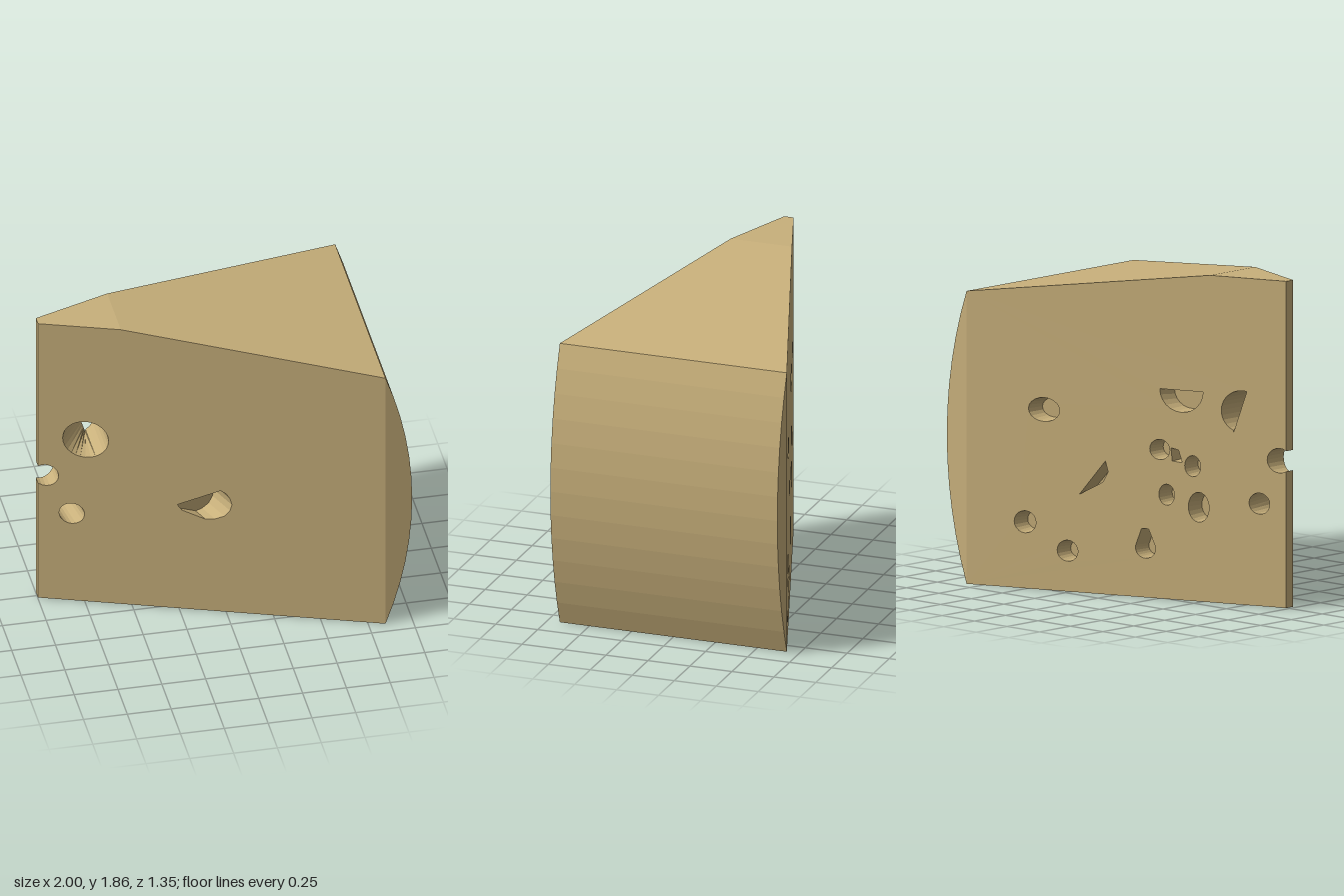
import * as THREE from 'three';

const V2 = (x, y) => new THREE.Vector2(x, y);
const pts = (list) => list.map(([x, y]) => V2(x, y));

// Half thickness of the wedge at x: narrow tip, constant rind
const half = (x) => Math.min(0.676, 0.028 + 0.3515 * (x + 1));
const onSide = (p, s) => new THREE.Vector3(p.x, p.y, s * half(p.x));

// Counter-clockwise ellipse
function oval(x, y, rx, ry = rx, n = 20) {
  return Array.from({ length: n }, (_, i) => {
    const a = (i / n) * Math.PI * 2;
    return V2(x + rx * Math.cos(a), y + ry * Math.sin(a));
  });
}

// Arc from angle a0 to a1, ends included
function arc(x, y, r, a0, a1, n) {
  return Array.from({ length: n + 1 }, (_, i) => {
    const a = a0 + ((a1 - a0) * i) / n;
    return V2(x + r * Math.cos(a), y + r * Math.sin(a));
  });
}

function fromTriangles(tris) {
  const g = new THREE.BufferGeometry().setFromPoints(tris);
  g.computeVertexNormals();
  return g;
}

// Ruled strip between two loops of equal length
function loft(a, b, flip) {
  const t = [];
  a.forEach((p, i) => {
    const j = (i + 1) % a.length;
    if (flip) t.push(p, a[j], b[i], a[j], b[j], b[i]);
    else t.push(p, b[i], a[j], a[j], b[i], b[j]);
  });
  return t;
}

// Flat outline with holes laid on one side (s = 1 front, -1 back)
function sideFace(outline, holes, s) {
  const faces = THREE.ShapeUtils.triangulateShape(outline, holes);
  const all = [...outline, ...holes.flat()];
  const t = [];
  faces.forEach(([a, b, c]) => {
    const [p, q, r] = [a, b, c].map((i) => onSide(all[i], s));
    const ccw = (q.x - p.x) * (r.y - p.y) - (q.y - p.y) * (r.x - p.x) > 0;
    if (ccw === (s > 0)) t.push(p, q, r);
    else t.push(p, r, q);
  });
  return fromTriangles(t);
}

// Blind hole: walls plus floor; depthAt gives the floor depth at x
function pocket(loop, s, depthAt, shrink, shift = 0) {
  const c = loop.reduce((m, p) => m.add(p), V2(0, 0)).divideScalar(loop.length);
  const outer = loop.map((p) => onSide(p, s));
  const inner = loop.map((p) => {
    const d = depthAt(p.x);
    return new THREE.Vector3(
      c.x + (p.x - c.x) * shrink + shift * d,
      c.y + (p.y - c.y) * shrink,
      s * (half(p.x) - d));
  });
  const t = loft(outer, inner, s > 0);
  const mid = inner.reduce((m, p) => m.add(p), new THREE.Vector3()).divideScalar(inner.length);
  inner.forEach((p, i) => {
    const q = inner[(i + 1) % inner.length];
    if (s > 0) t.push(mid, p, q);
    else t.push(mid, q, p);
  });
  return fromTriangles(t);
}

export function createModel() {
  const group = new THREE.Group();
  const cheese = new THREE.MeshStandardMaterial({ color: 0xc8b07b, side: THREE.DoubleSide });
  cheese.name = 'cheese yellow';
  const add = (name, geometry) => {
    const mesh = new THREE.Mesh(geometry, cheese);
    mesh.name = name;
    group.add(mesh);
  };

  // Outlines: bulging rind, and wedge wall with a notch in the tip
  const R = 2.345;
  const a = Math.asin(0.83 / R);
  const rind = arc(0.997 - R, 0.832, R, -a, a, 12);
  const notch = arc(-0.96, 0.84, 0.07, 2.18, -2.18, 14);
  notch[0].x = notch[14].x = -1;
  const rest = [...pts([[-0.56, 1.86], [-1, 1.86]]), ...notch, V2(-1, 0.008)];
  const wall = [rind[0], rind[12], ...rest];
  const outline = [...rind, ...rest];

  // Holes that pass right through, as front and back loops
  const bigFront = oval(-0.747, 1.1, 0.122, 0.12, 28);
  const bigBack = bigFront.map((p) => V2(Math.max(p.x, -0.77 + (1.21 - p.y) * 0.32), p.y));
  const through = [
    [bigFront, bigBack],
    [oval(-0.82, 0.594, 0.068), oval(-0.845, 0.588, 0.06)],
  ];

  // Blind holes
  const frontScoop = pts([[-0.26, 0.705], [-0.235, 0.67], [-0.11, 0.62], [-0.06, 0.627], [-0.01, 0.65],
    [0.02, 0.69], [0.03, 0.73], [0.02, 0.77], [0, 0.8], [-0.03, 0.82]]);
  const backPockets = [
    oval(0.398, 1.025, 0.09, 0.068),
    [V2(-0.27, 1.195), ...arc(-0.395, 1.195, 0.125, Math.PI, Math.PI * 2, 12).slice(0, -1)],
    pts([[0.194, 0.56], [0.044, 0.76], [0.028, 0.70], [0.057, 0.64]]),
    oval(-0.27, 0.85, 0.058),
    pts([[-0.335, 0.865], [-0.378, 0.855], [-0.4, 0.785], [-0.342, 0.79]]),
    oval(-0.46, 0.77, 0.046, 0.06),
    oval(-0.31, 0.597, 0.045, 0.06),
    oval(-0.495, 0.54, 0.06, 0.085),
    oval(0.507, 0.38, 0.063),
    oval(0.262, 0.235, 0.06),
    [...arc(-0.188, 0.285, 0.058, -3.4, 0.26, 14), V2(-0.165, 0.395), V2(-0.205, 0.395)],
  ];

  // Wedge sides and the flat ends of the rind
  add('frontWall', sideFace(wall, [...through.map((h) => h[0]), frontScoop], 1));
  add('backWall', sideFace(wall, [...through.map((h) => h[1]), ...backPockets], -1));
  add('frontRindEnd', sideFace(rind, [], 1));
  add('backRindEnd', sideFace(rind, [], -1));

  // Top, bottom, tip, notch and rind in one band round the wedge
  add('rindAndEdges', fromTriangles(loft(
    outline.map((p) => onSide(p, 1)), outline.map((p) => onSide(p, -1)), false)));

  through.forEach(([f, b]) => add('throughHole', fromTriangles(loft(
    f.map((p) => onSide(p, 1)), b.map((p) => onSide(p, -1)), true))));
  add('frontScoop', pocket(frontScoop, 1, (x) => 0.01 + 0.55 * (x + 0.26), 1, -0.4));
  backPockets.forEach((loop) => add('backHole', pocket(loop, -1, () => 0.1, 0.85)));

  return group;
}
